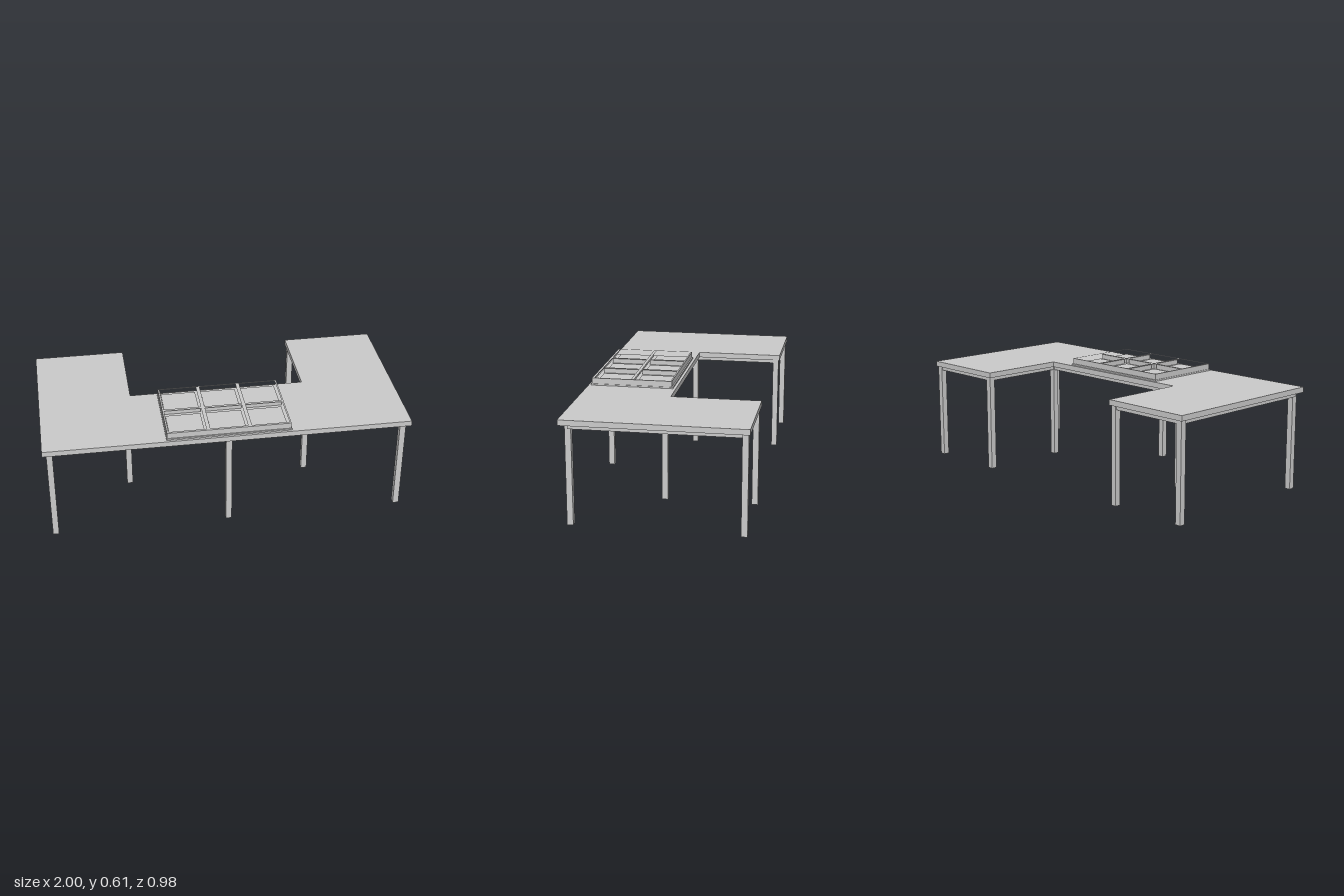
import * as THREE from 'three';

const grey = new THREE.MeshStandardMaterial({ color: 0xcccccc, flatShading: true });

// Flat outline in x/z, raised from y0 to y1
function slab(name, points, holes, y0, y1) {
  const shape = new THREE.Shape(points.map(([x, z]) => new THREE.Vector2(x, -z)));
  for (const h of holes) {
    shape.holes.push(new THREE.Path(h.map(([x, z]) => new THREE.Vector2(x, -z))));
  }
  const geo = new THREE.ExtrudeGeometry(shape, { depth: y1 - y0, bevelEnabled: false });
  geo.rotateX(-Math.PI / 2).translate(0, y0, 0);
  const mesh = new THREE.Mesh(geo, grey);
  mesh.name = name;
  return mesh;
}

// Box given by its limits
function box(name, x0, x1, y0, y1, z0, z1) {
  const mesh = new THREE.Mesh(new THREE.BoxGeometry(x1 - x0, y1 - y0, z1 - z0), grey);
  mesh.position.set((x0 + x1) / 2, (y0 + y1) / 2, (z0 + z1) / 2);
  mesh.name = name;
  return mesh;
}

const rect = (x0, x1, z0, z1) => [[x0, z0], [x1, z0], [x1, z1], [x0, z1]];

export function createModel() {
  const model = new THREE.Group();
  model.name = 'uShapedTable';

  // U-shaped top, open at the back
  model.add(slab('tableTop', [
    [-1, 0.488], [1, 0.488], [1, -0.488], [0.49, -0.488],
    [0.49, 0], [-0.49, 0], [-0.49, -0.488], [-1, -0.488],
  ], [], 0.541, 0.571));

  // Legs
  const r = 0.0165;
  const leg = (name, x, z) => model.add(box(name, x - r, x + r, 0, 0.539, z - r, z + r));
  leg('frontMiddleLeg', 0, 0.44);
  for (const [s, side] of [[1, 'left'], [-1, 'right']]) {
    leg(side + 'FrontLeg', s * 0.962, 0.44);
    leg(side + 'InnerCornerLeg', s * 0.515, 0.026);
    leg(side + 'BackOuterLeg', s * 0.975, -0.464);
    leg(side + 'BackInnerLeg', s * 0.515, -0.464);
  }

  // Rails under the top, following the outline
  const w = 0.012, y0 = 0.521, y1 = 0.541;
  model.add(box('frontRail', -0.96, 0.96, y0, y1, 0.44 - w, 0.44 + w));
  model.add(box('innerRail', -0.515, 0.515, y0, y1, 0.026 - w, 0.026 + w));
  for (const [s, side] of [[1, 'left'], [-1, 'right']]) {
    const rail = (name, xc, halfX, z0, z1) =>
      model.add(box(side + name, s * xc - halfX, s * xc + halfX, y0, y1, z0, z1));
    rail('OuterRail', 0.973, w, -0.464, 0.44);
    rail('WingInnerRail', 0.515, w, -0.464, 0.026);
    rail('BackRail', 0.745, 0.23, -0.464 - w, -0.464 + w);
  }

  // Divided tray: base plate, gridded frame and a panel in every cell
  const tray = new THREE.Group();
  tray.name = 'tray';
  tray.add(box('trayBase', -0.34, 0.34, 0.571, 0.579, 0.015, 0.475));
  const cells = [];
  for (const cx of [-0.225, 0, 0.225]) {
    for (const cz of [0.132, 0.353]) {
      cells.push(rect(cx - 0.102, cx + 0.102, cz - 0.102, cz + 0.102));
      tray.add(box('cellPanel', cx - 0.096, cx + 0.096, 0.579, 0.584, cz - 0.096, cz + 0.096));
    }
  }
  tray.add(slab('trayFrame', rect(-0.336, 0.336, 0.022, 0.468), cells, 0.579, 0.611));
  model.add(tray);

  return model;
}
